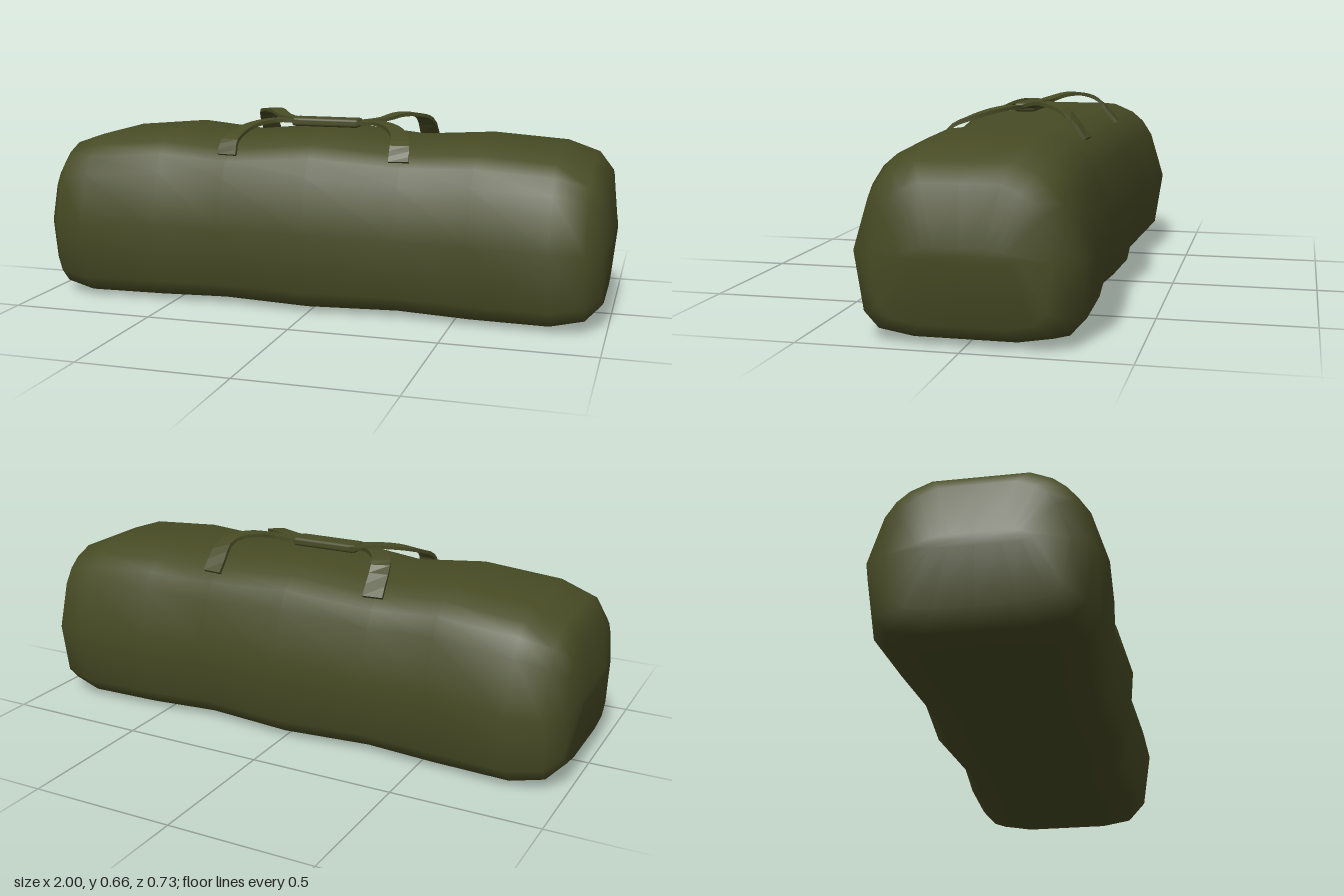
import * as THREE from 'three';
import { RoundedBoxGeometry } from 'three/addons/geometries/RoundedBoxGeometry.js';

// Skin a list of closed rings and cap both ends
function loft(rings) {
  const n = rings[0].length, last = rings.length - 1;
  const points = rings.flat();
  const index = [];
  for (let i = 0; i < last; i++) {
    for (let j = 0; j < n; j++) {
      const k = (j + 1) % n;
      const a = i * n + j, d = i * n + k, b = a + n, c = d + n;
      index.push(a, b, d, b, c, d);
    }
  }
  for (const [ring, flip] of [[0, false], [last, true]]) {
    const centre = points.length;
    points.push(rings[ring].reduce((s, p) => s.add(p), new THREE.Vector3()).divideScalar(n));
    for (let j = 0; j < n; j++) {
      const a = ring * n + j, b = ring * n + (j + 1) % n;
      index.push(centre, flip ? b : a, flip ? a : b);
    }
  }
  const geometry = new THREE.BufferGeometry().setFromPoints(points);
  geometry.setIndex(index);
  geometry.computeVertexNormals();
  return geometry;
}

// Rectangular ribbon following a path, kept level across its width
function strap(path, width, thickness) {
  const curve = new THREE.CatmullRomCurve3(path.map(p => new THREE.Vector3(...p)));
  const up = new THREE.Vector3(0, 1, 0), rings = [], steps = 14;
  for (let i = 0; i <= steps; i++) {
    const u = i / steps;
    const t = curve.getTangent(u), p = curve.getPoint(u);
    const w = t.clone().cross(up).normalize();
    const n = w.clone().cross(t).normalize();
    const half = width / 2 * (1 - 0.4 * u);
    rings.push([[1, 1], [-1, 1], [-1, -1], [1, -1]].map(([a, b]) =>
      p.clone().addScaledVector(w, a * half).addScaledVector(n, b * thickness / 2)));
  }
  const geometry = loft(rings).toNonIndexed();
  geometry.computeVertexNormals();
  return geometry;
}

export function createModel() {
  const model = new THREE.Group();
  const canvas = new THREE.MeshStandardMaterial({ color: 0x474b24 });
  canvas.name = 'olive canvas';

  function add(geometry, name) {
    const mesh = new THREE.Mesh(geometry, canvas);
    mesh.name = name;
    model.add(mesh);
  }

  // Half of the cross-section: share of half width, share of height
  const half = [
    [0.46, 0], [0.78, 0.035], [0.915, 0.13], [1, 0.48],
    [0.86, 0.78], [0.76, 0.88], [0.64, 0.945], [0.44, 1],
  ];
  const section = [[0, 0], ...half, [0, 1], ...half.slice().reverse().map(([z, y]) => [-z, y])];

  // Stations along the bag: x, half width, bottom, top
  const stations = [
    [-1, 0.17, 0.26, 0.3], [-0.98, 0.27, 0.07, 0.475], [-0.93, 0.337, 0.022, 0.535],
    [-0.82, 0.366, 0, 0.572], [-0.55, 0.353, 0, 0.597], [-0.31, 0.333, 0.004, 0.575],
    [0, 0.366, 0, 0.606], [0.31, 0.333, 0.004, 0.578], [0.56, 0.36, 0, 0.592],
    [0.82, 0.367, 0, 0.574], [0.93, 0.337, 0.022, 0.538], [0.98, 0.27, 0.07, 0.48],
    [1, 0.17, 0.26, 0.3],
  ];
  add(loft(stations.map(([x, w, low, high]) =>
    section.map(([z, y]) => new THREE.Vector3(x, low + y * (high - low), z * w)))), 'bagBody');

  // Two carrying handles whose ends meet inside the grip
  const frontPath = [
    [0.305, 0.528, 0.248], [0.302, 0.573, 0.225], [0.285, 0.603, 0.16],
    [0.25, 0.622, 0.105], [0.19, 0.632, 0.055], [0.1, 0.628, 0.03],
  ];
  const backPath = [
    [0.31, 0.545, -0.245], [0.303, 0.628, -0.172], [0.28, 0.648, -0.125],
    [0.23, 0.652, -0.07], [0.18, 0.638, -0.02], [0.1, 0.628, 0.005],
  ];
  for (const [side, name] of [[1, 'Left'], [-1, 'Right']]) {
    const mirror = path => path.map(([x, y, z]) => [side * x, y, z]);
    add(strap(mirror(frontPath), 0.07, 0.012), 'frontStrap' + name);
    add(strap(mirror(backPath), 0.07, 0.012), 'backStrap' + name);
  }

  // Wrapped grip holding the straps together
  const grip = new RoundedBoxGeometry(0.245, 0.03, 0.075, 2, 0.01);
  grip.translate(-0.012, 0.627, 0.016);
  add(grip, 'grip');

  return model;
}
